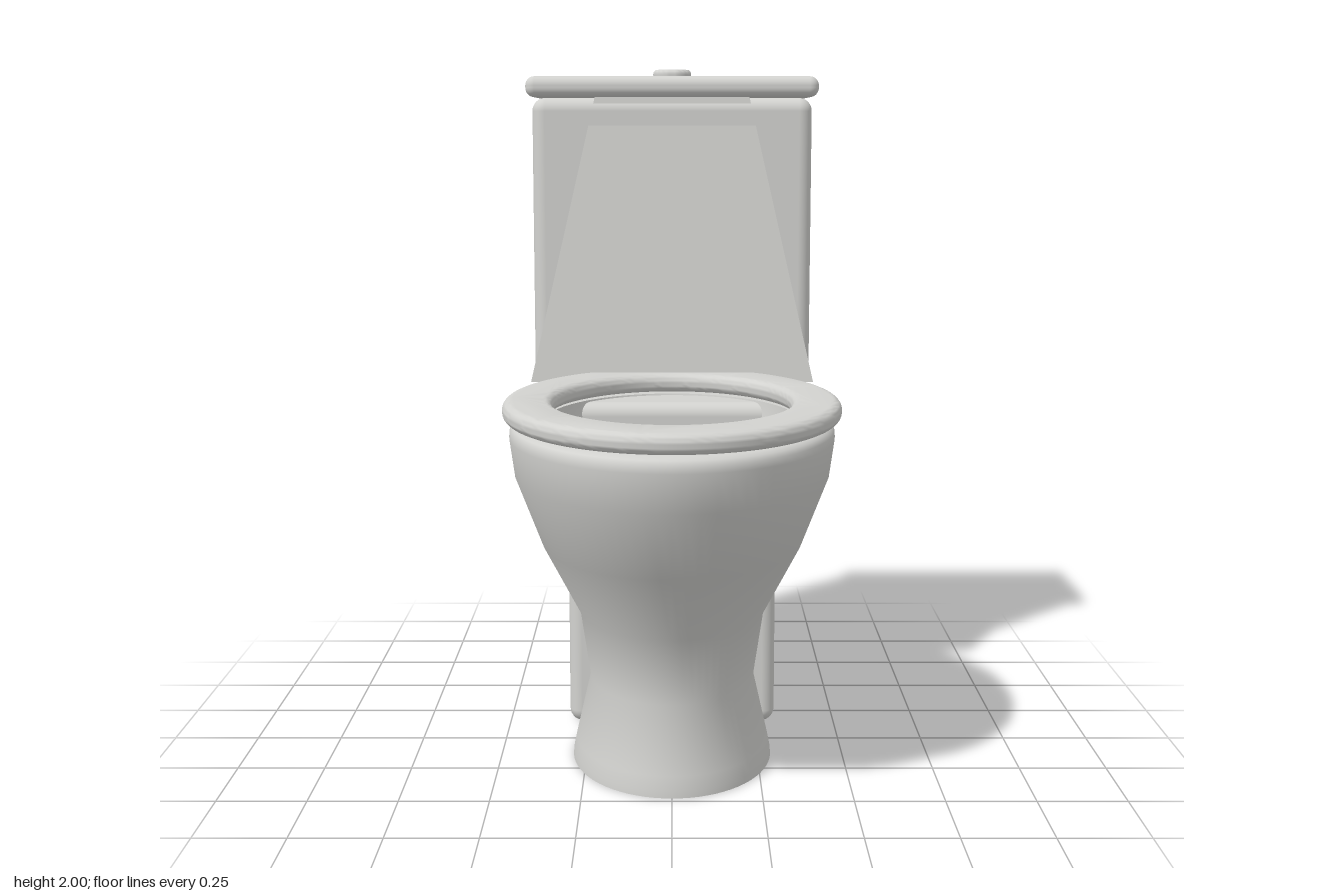
import * as THREE from 'three';
import { toCreasedNormals } from 'three/addons/utils/BufferGeometryUtils.js';
import { RoundedBoxGeometry } from 'three/addons/geometries/RoundedBoxGeometry.js';

const ceramic = new THREE.MeshStandardMaterial({ name: 'white ceramic', color: 0xd2d2cf });

export function createModel() {
  const group = new THREE.Group();

  const add = (name, geometry, x = 0, y = 0, z = 0) => {
    const mesh = new THREE.Mesh(geometry, ceramic);
    mesh.name = name;
    mesh.position.set(x, y, z);
    group.add(mesh);
    return mesh;
  };

  // Rounded block given by half width, y range and z range
  const block = (name, halfWidth, y0, y1, z0, z1, radius) =>
    add(name, new RoundedBoxGeometry(halfWidth * 2, y1 - y0, z1 - z0, 5, radius),
      0, (y0 + y1) / 2, (z0 + z1) / 2);

  // Lathe stretched into ovals whose centre moves forward with height
  const ovalLathe = (profile, stretch) => {
    const geo = new THREE.LatheGeometry(profile.map(([r, y]) => new THREE.Vector2(r, y)), 72);
    const pos = geo.attributes.position;
    for (let i = 0; i < pos.count; i++) {
      const y = pos.getY(i);
      pos.setZ(i, pos.getZ(i) * stretch(y) + 0.1 + 0.09 * y);
    }
    return toCreasedNormals(geo, 0.7);
  };

  // Outside of the bowl, from foot to rim
  add('bowlOuter', ovalLathe([
    [0, 0], [0.29, 0], [0.288, 0.02], [0.28, 0.06], [0.237, 0.25], [0.265, 0.45], [0.37, 0.66],
    [0.443, 0.86], [0.457, 0.97], [0.455, 0.99], [0.448, 1.003], [0.435, 1.01], [0.36, 1.01],
  ], () => 1.31));

  // Inside of the bowl, from rim to the round floor
  add('bowlInner', ovalLathe([
    [0.36, 1.01], [0.355, 0.95], [0.335, 0.86], [0.28, 0.72], [0.22, 0.62], [0.155, 0.55], [0, 0.55],
  ], (y) => 1 + 0.31 * (y - 0.55) / 0.46));

  // Oval seat ring with rounded edges
  const bevel = 0.026;
  const seatShape = new THREE.Shape();
  seatShape.absellipse(0, 0, 0.475 - bevel, 0.607 - bevel, 0, Math.PI * 2);
  const hole = new THREE.Path();
  hole.absellipse(0, 0, 0.335 + bevel, 0.443 + bevel, 0, Math.PI * 2);
  seatShape.holes.push(hole);
  const seatGeo = new THREE.ExtrudeGeometry(seatShape, {
    depth: 0.004, bevelSize: bevel, bevelThickness: bevel, bevelSegments: 6, curveSegments: 72,
  });
  seatGeo.rotateX(-Math.PI / 2);
  add('seat', toCreasedNormals(seatGeo, 0.7), 0, 1.018 + bevel, 0.195);

  // Raised lid, a tapering board leaning on the tank
  const lidShape = new THREE.Shape([
    [-0.435, 0], [0.435, 0], [0.235, 0.88], [-0.235, 0.88],
  ].map(([x, y]) => new THREE.Vector2(x, y)));
  const lid = add('seatLid', new THREE.ExtrudeGeometry(lidShape, { depth: 0.05, bevelEnabled: false }),
    0, 1.04, -0.333);
  lid.rotation.x = -0.108;

  // Pedestal block, water tank and tank cover
  block('pedestal', 0.315, 0.006, 1.005, -0.767, -0.112, 0.04);
  block('tank', 0.43, 1.015, 1.91, -0.8, -0.368, 0.04);
  block('tankCover', 0.449, 1.912, 1.975, -0.808, -0.354, 0.028);

  // Flush button with a rounded top edge
  const button = new THREE.LatheGeometry([
    [0, 1.965], [0.058, 1.965], [0.06, 1.985], [0.059, 1.993], [0.053, 1.999], [0.046, 2], [0, 2],
  ].map(([r, y]) => new THREE.Vector2(r, y)), 40);
  add('flushButton', toCreasedNormals(button, 0.8), 0, 0, -0.583);

  return group;
}
